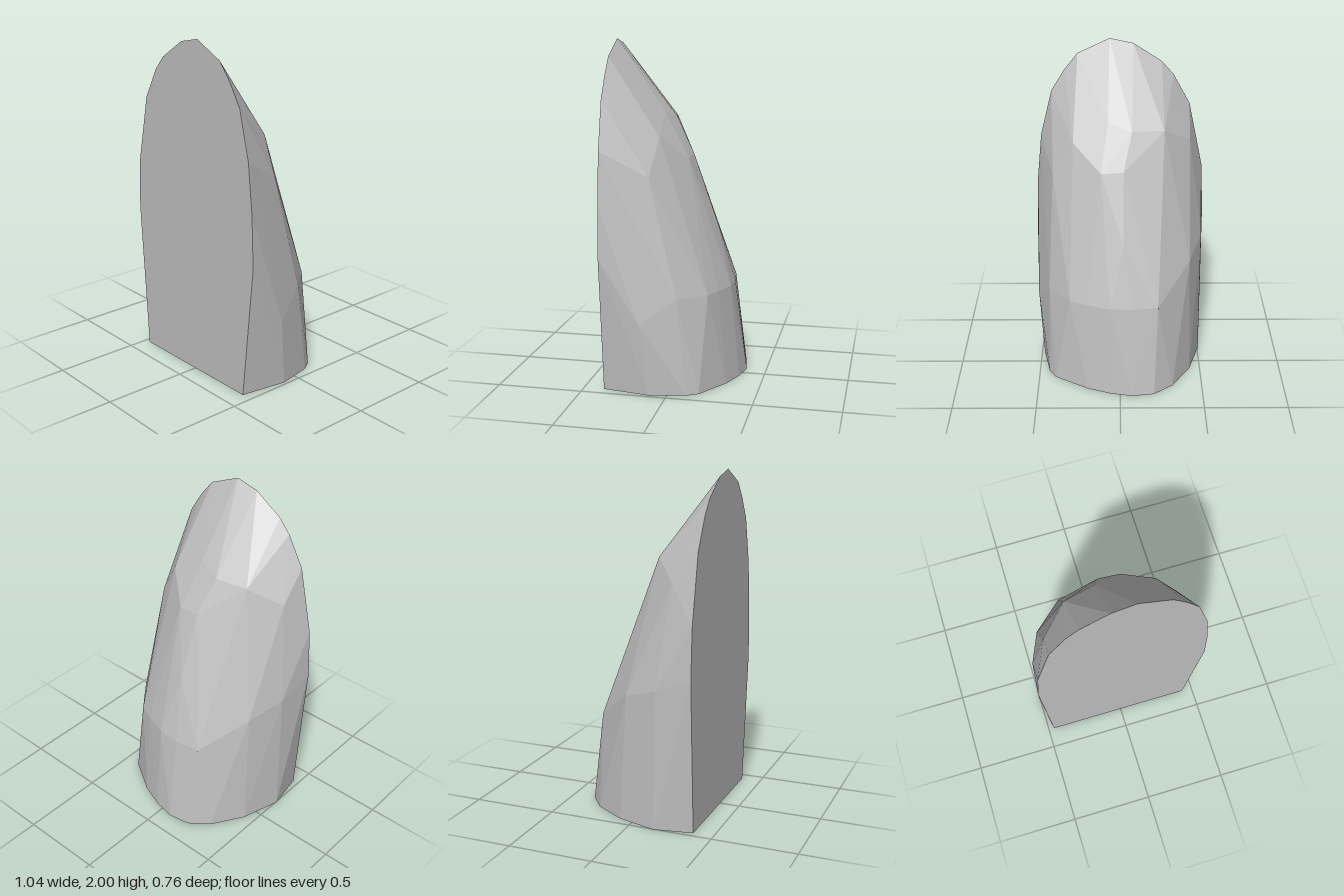
import * as THREE from 'three';
import { ConvexGeometry } from 'three/addons/geometries/ConvexGeometry.js';

const FRONT = 0.38;

// Flat front face outline: [x, y], from the right foot over the crown
const faceOutline = [
  [-0.465, 0], [-0.52, 0.9], [-0.505, 1.2], [-0.42, 1.6], [-0.32, 1.78],
  [-0.25, 1.86], [-0.08, 1.97], [0.06, 2], [0.25, 1.91], [0.33, 1.81],
  [0.41, 1.68], [0.48, 1.4], [0.51, 1.1], [0.52, 0.8], [0.435, 0],
];

// Curved edge of the flat base: [x, z]
const baseOutline = [
  [-0.505, 0.15], [-0.435, -0.085], [-0.32, -0.27], [-0.205, -0.36],
  [-0.075, -0.38], [0.055, -0.355], [0.2, -0.3], [0.4, -0.175],
  [0.44, -0.11], [0.483, 0.1],
];

// Facet corners of the rounded back: [x, y, z], in rising bands
const lowerBand = [
  [-0.5, 0.82, 0.16], [-0.42, 0.75, -0.05], [-0.225, 0.56, -0.285],
  [-0.07, 0.56, -0.305], [0.06, 0.56, -0.3], [0.2, 0.56, -0.25],
  [0.3, 0.56, -0.205], [0.43, 0.56, -0.05], [0.51, 0.42, 0.15],
];
const upperBand = [
  [-0.02, 0.93, -0.2], [-0.155, 1.2, -0.065], [-0.02, 1.33, -0.06],
  [0.11, 1.32, -0.055], [0.4, 1.25, 0.115], [0.275, 1.46, 0.08],
  [-0.3, 1.35, 0.07], [-0.42, 1.42, 0.23], [-0.26, 1.53, 0.09],
  [-0.07, 1.54, 0.05], [0.07, 1.58, 0.09],
];

export function createModel() {
  const group = new THREE.Group();
  group.name = 'facetedStone';

  const stone = new THREE.MeshStandardMaterial({ color: 0xc0c0c0, flatShading: true });
  stone.name = 'stone grey';

  // Faceted block wrapped around the face, base and back corners
  const corners = [
    ...faceOutline.map(([x, y]) => new THREE.Vector3(x, y, FRONT)),
    ...baseOutline.map(([x, z]) => new THREE.Vector3(x, 0, z)),
    ...[...lowerBand, ...upperBand].map((p) => new THREE.Vector3(...p)),
  ];
  const block = new THREE.Mesh(new ConvexGeometry(corners), stone);
  block.name = 'stoneBlock';
  group.add(block);

  return group;
}
